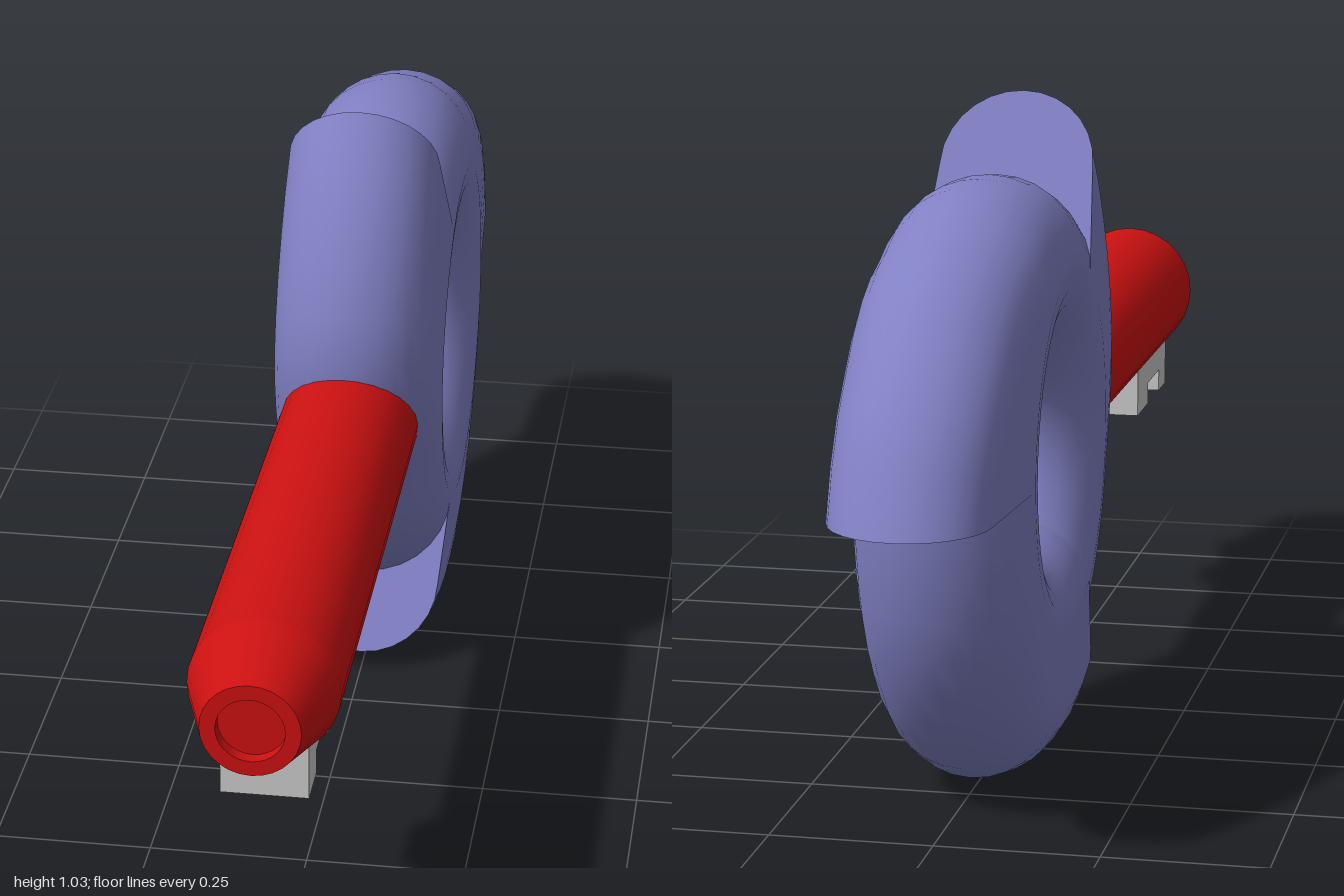
import * as THREE from 'three';
import { toCreasedNormals } from 'three/addons/utils/BufferGeometryUtils.js';

const CY = 0.525, CZ = -0.38;   // ring centre
const MID = 0.28, TUBE = 0.136; // ring mid radius and tube radius

// Closed cross-section (radius, x): round inner half, outer half stretched to reach radius R
function section(R) {
  const grow = Math.max(0, R - 0.415);
  const c = MID + 0.003 + grow * 1.05, w = TUBE - grow * 0.08;
  const pts = [], n = 14;
  for (let i = 0; i <= n; i++) {
    const a = -Math.PI / 2 + Math.PI * i / n;
    pts.push([c + (R - c) * Math.cos(a), w * Math.sin(a)]);
  }
  for (let i = 0; i <= n; i++) {
    const a = Math.PI / 2 + Math.PI * i / n;
    pts.push([MID + TUBE * Math.cos(a), TUBE * Math.sin(a)]);
  }
  return pts;
}

// Linear lookup in a list of [t, radius]
function lookup(profile, t) {
  for (let i = 1; i < profile.length; i++) {
    const [t0, r0] = profile[i - 1], [t1, r1] = profile[i];
    if (t <= t1) return r0 + (r1 - r0) * (t - t0) / (t1 - t0);
  }
  return profile[profile.length - 1][1];
}

// A third of the ring, its outer edge rising to a blade with a flat end
function bladeGeometry(startDeg, profile) {
  const steps = 14, pos = [], idx = [];
  let n = 0;
  const addLoop = (t) => {
    const a = THREE.MathUtils.degToRad(startDeg - 120 * t);
    const pts = section(lookup(profile, t));
    n = pts.length;
    for (const [r, x] of pts) pos.push(x, CY + r * Math.sin(a), CZ - r * Math.cos(a));
  };
  for (let j = 0; j <= steps; j++) addLoop(j / steps);
  for (let j = 0; j < steps; j++) {
    for (let i = 0; i < n; i++) {
      const a = j * n + i, b = j * n + (i + 1) % n;
      idx.push(a, b, a + n, b, b + n, a + n);
    }
  }
  // flat ends with their own vertices
  for (const end of [0, 1]) {
    const base = pos.length / 3;
    addLoop(end);
    for (let i = 1; i < n - 1; i++) {
      if (end) idx.push(base, base + i, base + i + 1);
      else idx.push(base, base + i + 1, base + i);
    }
  }
  const g = new THREE.BufferGeometry();
  g.setAttribute('position', new THREE.Float32BufferAttribute(pos, 3));
  g.setIndex(idx);
  g.computeVertexNormals();
  return g;
}

export function createModel() {
  const model = new THREE.Group();
  const blue = new THREE.MeshStandardMaterial({ color: 0x8080c4 });
  const red = new THREE.MeshStandardMaterial({ color: 0xcc1111 });
  const grey = new THREE.MeshStandardMaterial({ color: 0xcccccc });
  const add = (parent, name, geometry, material) => {
    const m = new THREE.Mesh(geometry, material);
    m.name = name;
    parent.add(m);
    return m;
  };

  // Ring handle made of three swirling blades
  const handle = new THREE.Group();
  handle.name = 'ringHandle';
  model.add(handle);
  add(handle, 'upperBlade', bladeGeometry(120,
    [[0, 0.416], [0.25, 0.416], [0.5, 0.435], [0.64, 0.478], [0.79, 0.522], [0.88, 0.566], [1, 0.62]]), blue);
  add(handle, 'lowerBlade', bladeGeometry(0,
    [[0, 0.415], [0.13, 0.415], [0.28, 0.435], [0.43, 0.462], [0.53, 0.487], [0.63, 0.509], [0.8, 0.524], [1, 0.56]]), blue);
  add(handle, 'frontBlade', bladeGeometry(-120,
    [[0, 0.42], [0.39, 0.415], [0.52, 0.46], [0.65, 0.504], [0.75, 0.52], [0.87, 0.545], [1, 0.587]]), blue);

  // Shaft with a tapered nose and a shallow socket
  const outline = [[0, -0.1], [0.11, -0.1], [0.112, 0.88], [0.073, 1], [0.05, 1], [0.05, 0.98], [0, 0.98]]
    .map(([r, z]) => new THREE.Vector2(r, z));
  const shaftGeo = toCreasedNormals(new THREE.LatheGeometry(outline, 28).rotateX(Math.PI / 2), 0.3);
  add(model, 'shaft', shaftGeo, red).position.y = 0.538;

  // Key bit: notched plate under the shaft, drawn as (-z, y) and extruded across x
  const bitShape = new THREE.Shape([
    [-0.885, 0.47], [-0.885, 0.362], [-0.815, 0.362], [-0.815, 0.4], [-0.7, 0.4],
    [-0.7, 0.362], [-0.595, 0.362], [-0.595, 0.47],
  ].map(([h, y]) => new THREE.Vector2(h, y)));
  const bitGeo = new THREE.ExtrudeGeometry(bitShape, { depth: 0.13, bevelEnabled: false });
  bitGeo.translate(0, 0, -0.065).rotateY(Math.PI / 2);
  add(model, 'keyBit', bitGeo, grey);

  return model;
}
